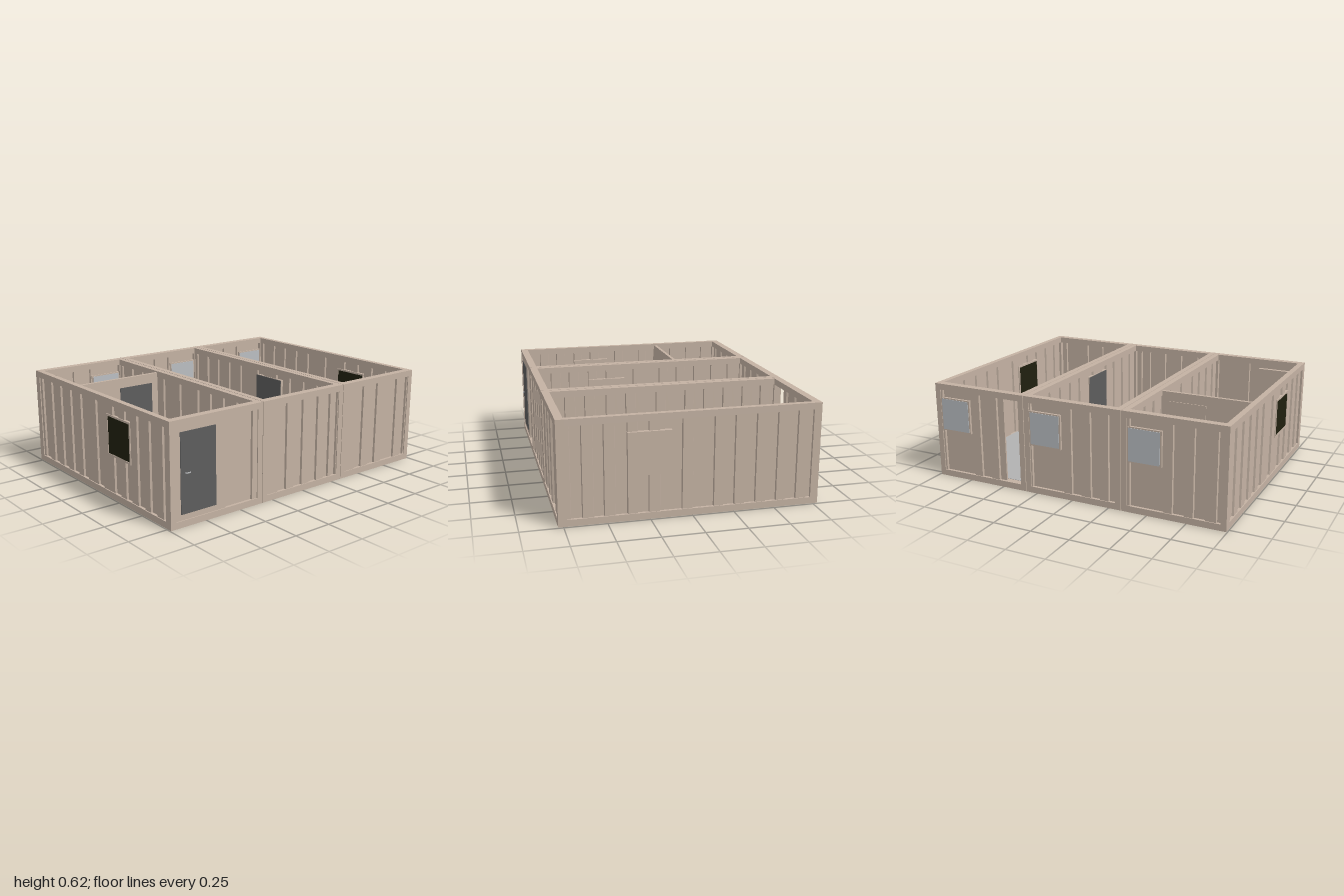
import * as THREE from 'three';

const material = (name, color, side = THREE.FrontSide) => {
  const m = new THREE.MeshStandardMaterial({ color, side });
  m.name = name;
  return m;
};

const H = 0.625, X = 0.78, PX = 0.047, PZ = 0.036, BY = 0.04;

// Positions of the folds in the corrugated sheets
const LONG = [-0.705, -0.64, -0.575, -0.515, -0.45, -0.385, -0.32, -0.255, -0.19, -0.13,
  -0.005, 0.06, 0.19, 0.255, 0.32, 0.38, 0.45, 0.515, 0.575, 0.64, 0.705];

// Corrugated sheet from u = a to b, its outer side facing +z at z = 0
function sheetGeometry(a, b, folds) {
  const line = [];
  let deep = false;
  const depth = () => (deep ? 0.018 : 0.006);
  line.push([a, depth()]);
  for (const f of folds) {
    line.push([f - 0.002, depth()]);
    deep = !deep;
    line.push([f + 0.002, depth()]);
  }
  line.push([b, depth()]);
  const inner = line.map(([u, v]) => [u, v + 0.012]).reverse();
  const shape = new THREE.Shape([...line, ...inner].map(([u, v]) => new THREE.Vector2(u, v)));
  const g = new THREE.ExtrudeGeometry(shape, { depth: H - 2 * BY, bevelEnabled: false });
  return g.rotateX(-Math.PI / 2).translate(0, BY, 0);
}

function roundedRect(w, h, r, Type = THREE.Shape) {
  const s = new Type(), x = w / 2, y = h / 2;
  s.moveTo(-x + r, -y);
  s.lineTo(x - r, -y).quadraticCurveTo(x, -y, x, -y + r);
  s.lineTo(x, y - r).quadraticCurveTo(x, y, x - r, y);
  s.lineTo(-x + r, y).quadraticCurveTo(-x, y, -x, y - r);
  s.lineTo(-x, -y + r).quadraticCurveTo(-x, -y, -x + r, -y);
  return s;
}

export function createModel() {
  const wall = material('wall beige', 0xc4b2a3);
  const floorGrey = material('floor grey', 0xb2b2b2);
  const doorGrey = material('door grey', 0x5d5d5d);
  const darkGlass = material('dark glass', 0x20200f);
  const paleGlass = material('pale glass', 0xbabec2);
  const steel = material('steel', 0xb4b6b8, THREE.DoubleSide);
  const model = new THREE.Group();
  model.name = 'threeModuleCabin';

  const add = (name, geo, mat, parent = model) => {
    const m = new THREE.Mesh(geo, mat);
    m.name = name;
    parent.add(m);
    return m;
  };
  // Box given by its limits on each axis
  const box = (name, mat, x0, x1, y0, y1, z0, z1, parent = model) => {
    const m = add(name, new THREE.BoxGeometry(x1 - x0, y1 - y0, z1 - z0), mat, parent);
    m.position.set((x0 + x1) / 2, (y0 + y1) / 2, (z0 + z1) / 2);
    return m;
  };

  // Rear, middle and front modules with the folds of their end walls
  const modules = [
    { name: 'rearModule', z0: -0.99, z1: -0.332, right: [-0.945, -0.91, -0.845, -0.72, -0.655, -0.59, -0.525, -0.465],
      left: [-0.94, -0.72, -0.66, -0.59, -0.53], leftEnd: -0.485 },
    { name: 'middleModule', z0: -0.328, z1: 0.332, right: [-0.285, -0.25, -0.22, -0.18, -0.115, -0.055, 0.01, 0.075, 0.14, 0.205],
      left: [-0.28, -0.06, 0.0, 0.06, 0.13, 0.19, 0.25], leftEnd: 0.31 },
    { name: 'frontModule', z0: 0.336, z1: 0.994, right: [0.41, 0.605],
      left: [0.39, 0.6, 0.66, 0.73, 0.79, 0.86, 0.93], leftEnd: 0.97 },
  ];

  for (const { name, z0, z1, right, left, leftEnd } of modules) {
    const g = new THREE.Group();
    g.name = name;
    model.add(g);

    // Steel frame: corner posts and beams
    for (const x of [-X, X - PX])
      for (const z of [z0, z1 - PZ]) box('cornerPost', wall, x, x + PX, 0, H, z, z + PZ, g);
    for (const y of [0, H - BY]) {
      for (const z of [z0, z1 - PZ]) box('longBeam', wall, -X + PX, X - PX, y, y + BY, z, z + PZ, g);
      for (const x of [-X, X - PX]) box('endBeam', wall, x, x + PX, y, y + BY, z0 + PZ, z1 - PZ, g);
    }
    box('floor', floorGrey, -X + PX, X - PX, 0.004, BY + 0.002, z0 + PZ, z1 - PZ, g);

    // Long walls
    const span = X - PX + 0.005;
    add('frontWall', sheetGeometry(-span, span, LONG), wall, g).position.z = z1;
    const back = add('backWall', sheetGeometry(-span, span, LONG.map(f => -f).reverse()), wall, g);
    back.position.z = z0;
    back.rotation.y = Math.PI;

    // End walls
    const a = z0 + PZ - 0.005, b = z1 - PZ + 0.005;
    const l = add('leftWall', sheetGeometry(-b, -a, right.map(f => -f).reverse()), wall, g);
    l.position.x = X;
    l.rotation.y = Math.PI / 2;
    const r = add('rightWall', sheetGeometry(a, Math.min(b, leftEnd), left), wall, g);
    r.position.x = -X;
    r.rotation.y = -Math.PI / 2;

    // Small pale window in the right wall
    const zc = z0 + 0.145;
    box('smallWindowFrame', wall, -X + 0.002, -X + 0.038, 0.315, 0.535, zc - 0.11, zc + 0.11, g);
    for (const x of [-X - 0.001, -X + 0.037])
      box('smallWindowGlass', paleGlass, x, x + 0.004, 0.323, 0.527, zc - 0.1, zc + 0.1, g);
  }

  // Square windows, dark pane on the +z side and plain plate behind
  for (const [z0, z1] of [[0.948, 0.99], [0.286, 0.326], [-1.0, -0.956]]) {
    const g = new THREE.Group();
    g.name = 'squareWindow';
    model.add(g);
    box('windowPlate', wall, 0.125, 0.382, 0.272, 0.527, z0, z1 - 0.004, g);
    for (const x of [0.125, 0.37]) box('windowSideTrim', wall, x, x + 0.012, 0.272, 0.527, z1 - 0.004, z1 + 0.003, g);
    for (const y of [0.272, 0.515]) box('windowEdgeTrim', wall, 0.137, 0.37, y, y + 0.012, z1 - 0.004, z1 + 0.003, g);
    box('windowPane', darkGlass, 0.137, 0.37, 0.284, 0.515, z1 - 0.004, z1, g);
  }

  // Door facing +z: grey leaf, plain back plate and lever handle
  const door = (name, x, z, angle, thickness) => {
    const g = new THREE.Group();
    g.name = name;
    g.position.set(x, 0, z);
    g.rotation.y = angle;
    model.add(g);
    box('doorBackPlate', wall, -0.125, 0.125, 0.07, 0.555, -thickness, -0.003, g);
    box('doorLeaf', doorGrey, -0.122, 0.122, 0.075, 0.552, -0.003, 0.001, g);
    const stem = add('handleStem', new THREE.CylinderGeometry(0.004, 0.004, 0.01, 10), steel, g);
    stem.rotation.x = Math.PI / 2;
    stem.position.set(-0.09, 0.315, 0.005);
    box('handleLever', steel, -0.092, -0.06, 0.312, 0.318, 0.007, 0.011, g);
  };
  door('entranceDoor', X - 0.003, 0.8, Math.PI / 2, 0.042);
  door('middleDoor', 0.117, -0.291, 0, 0.02);

  // Partition in the front module
  box('partition', wall, -0.276, -0.255, BY, 0.615, 0.37, 0.962);
  door('partitionDoor', -0.253, 0.54, Math.PI / 2, 0.028);

  // Wash basin on the right wall
  const sink = new THREE.Group();
  sink.name = 'washBasin';
  sink.position.set(-0.668, 0.23, 0.51);
  model.add(sink);
  const rim = roundedRect(0.135, 0.14, 0.028);
  rim.holes.push(roundedRect(0.105, 0.112, 0.024, THREE.Path));
  const rimGeo = new THREE.ExtrudeGeometry(rim, { depth: 0.045, bevelEnabled: false, curveSegments: 6 });
  add('basinRim', rimGeo.rotateX(-Math.PI / 2).translate(0, -0.045, 0), steel, sink);
  const bowl = new THREE.ExtrudeGeometry(roundedRect(0.112, 0.118, 0.026), { depth: 0.01, bevelEnabled: false, curveSegments: 6 });
  add('basinBowl', bowl.rotateX(-Math.PI / 2).translate(0, -0.045, 0), steel, sink);
  const spout = new THREE.CatmullRomCurve3([[-0.058, 0, 0], [-0.058, 0.03, 0], [-0.04, 0.04, 0], [-0.01, 0.028, 0]]
    .map(p => new THREE.Vector3(...p)));
  add('tap', new THREE.TubeGeometry(spout, 16, 0.007, 10), steel, sink);
  box('tapBase', steel, -0.066, -0.05, 0, 0.012, -0.025, 0.025, sink);

  return model;
}
